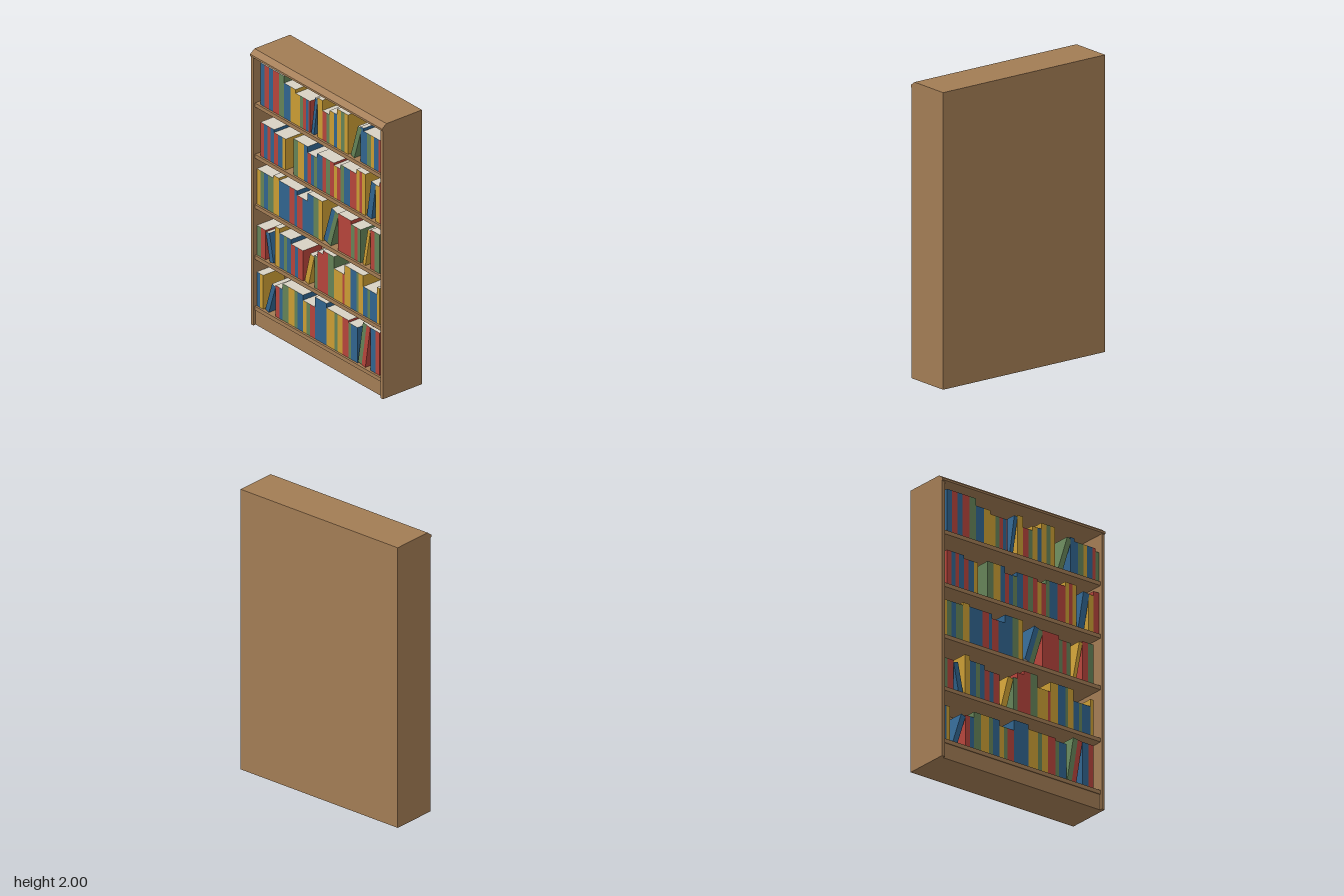
import * as THREE from 'three';

const material = (name, color) => {
  const m = new THREE.MeshStandardMaterial({ color });
  m.name = name;
  return m;
};

// Book runs per shelf, top shelf first, in small units from the inner left wall:
// [start, height, 'colour + thickness ...', lean]. A right-leaning run starts at its lower right corner.
const U = 0.0053;
const SHELVES = [
  { y: 1.618, runs: [
    [7, 57.5, 'B8 R8 B8 R11 G10'], [52, 48, 'B12 Y10'], [74, 43, 'Y8 G6 R6 B5 R2'],
    [109, 52, 'B5', 0.14], [116, 54, 'Y9'], [125, 40, 'R8 G6'], [139, 46, 'Y8 B6'],
    [153, 54, 'Y8 G6 Y7'], [186, 47, 'G7', 0.3], [198, 48, 'B6'],
    [204, 44, 'B6 G8 Y6 B8 R5'], [237, 40, 'G5'] ] },
  { y: 1.244, runs: [
    [7, 46.5, 'R7 B6 R6 B7'], [33, 42.5, 'R7 B9 Y6'], [70, 49.5, 'G9 Y11 B7'],
    [97, 41.5, 'R6 B6 G6'], [115, 47.5, 'B10 R7 G8 R7'], [147, 44.5, 'Y6 R7'],
    [160, 50.5, 'G6 B12 R12'], [190, 56.5, 'Y6 R5 Y6'], [219, 51, 'B9', 0.16],
    [226, 50.5, 'Y8'], [234, 56.5, 'R8'] ] },
  { y: 0.878, runs: [
    [0, 48.5, 'Y7 G7 B7 G11'], [32, 52.5, 'Y10'], [42, 49.5, 'B10 B10 R10 B5'],
    [77, 43.5, 'R10 B10'], [97, 54.5, 'B11 G10 Y7'], [141, 51, 'B7 G7', 0.3],
    [155, 50.5, 'R12 R13'], [180, 45.5, 'G6 R6 G6'], [207, 52, 'Y5', 0.19],
    [217, 53.5, 'R8 G9'] ] },
  { y: 0.507, runs: [
    [0, 40.5, 'G8 R9'], [25, 39, 'B7', -0.2], [35, 53.5, 'Y8'], [43, 47.5, 'B9 G6 B7'],
    [65, 41.5, 'R8 B6 R9'], [99, 43, 'Y8', 0.25], [110, 44.5, 'G6'], [116, 52.5, 'R10'],
    [126, 57.5, 'R10 G11'], [147, 41.5, 'Y16 R4'], [167, 54.5, 'Y12 B6 B5 G4 Y9'],
    [203, 39.5, 'B8 G5 B13'], [229, 49.5, 'Y5'] ] },
  { y: 0.136, runs: [
    [0, 46.5, 'B6 Y6'], [23, 42, 'B7', 0.31], [36, 42.5, 'R7 B6'], [49, 50.5, 'G11 Y12 G6 B10'],
    [88, 43.5, 'Y7 G6 R10'], [111, 57.5, 'B10 B12'], [133, 51.5, 'Y15 G6 Y9 R12'],
    [175, 48.5, 'G5 B12'], [207, 59, 'G7 R7', 0.16], [217, 58.5, 'B9 R8'] ] },
];

export function createModel() {
  const wood = material('wood', 0xa27c54);
  const paper = material('paper', 0xd8d2c4);
  const covers = {
    B: material('blue cover', 0x30648e),
    R: material('red cover', 0xb5443b),
    G: material('green cover', 0x648257),
    Y: material('yellow cover', 0xc99c34),
  };
  const model = new THREE.Group();
  model.name = 'bookcase';

  // Board spanning the given x, y and z ranges
  const board = (name, x0, x1, y0, y1, z0, z1) => {
    const mesh = new THREE.Mesh(new THREE.BoxGeometry(x1 - x0, y1 - y0, z1 - z0), wood);
    mesh.position.set((x0 + x1) / 2, (y0 + y1) / 2, (z0 + z1) / 2);
    mesh.name = name;
    model.add(mesh);
  };
  const W = 0.667, IN = 0.643, BACK = -0.166;

  // Case
  board('leftSide', IN, W, 0, 1.955, BACK, 0.16);
  board('rightSide', -W, -IN, 0, 1.955, BACK, 0.16);
  board('backPanel', -IN, IN, 0.109, 1.955, BACK, BACK + 0.012);
  board('plinth', -IN, IN, 0, 0.109, BACK, 0.14);
  for (const { y } of SHELVES) board('shelf', -IN, IN, y - 0.028, y, BACK + 0.012, 0.147);

  // Top board with a chamfered front moulding, profile in z and y
  const profile = new THREE.Shape([
    [BACK, 1.955], [0.158, 1.952], [0.167, 1.958], [0.167, 1.972], [0.13, 2], [BACK, 2],
  ].map(([z, y]) => new THREE.Vector2(z, y)));
  const topGeometry = new THREE.ExtrudeGeometry(profile, { depth: 2 * W, bevelEnabled: false });
  topGeometry.translate(0, 0, -W).rotateY(-Math.PI / 2);
  const top = new THREE.Mesh(topGeometry, wood);
  top.name = 'topBoard';
  model.add(top);

  // Books: coloured spine and covers, paper on the other edges
  const SPINE = 0.132;
  for (const { y, runs } of SHELVES) {
    const row = new THREE.Group();
    row.name = 'bookRow';
    model.add(row);
    for (const [start, units, list, lean = 0] of runs) {
      const run = new THREE.Group();
      run.name = lean ? 'leaningBooks' : 'bookRun';
      run.position.set((start - 121) * U, y, 0);
      run.rotation.z = -lean;
      row.add(run);
      const books = list.split(' ').map((b) => [covers[b[0]], Number(b.slice(1)) * U]);
      const h = units * U, depth = h * 0.72;
      let x = lean > 0 ? -books.reduce((sum, b) => sum + b[1], 0) : 0;
      for (const [cover, w] of books) {
        const book = new THREE.Mesh(new THREE.BoxGeometry(w, h, depth),
          [cover, cover, paper, paper, cover, paper]);
        book.position.set(x + w / 2, h / 2, SPINE - depth / 2);
        book.name = 'book';
        run.add(book);
        x += w;
      }
    }
  }
  return model;
}
